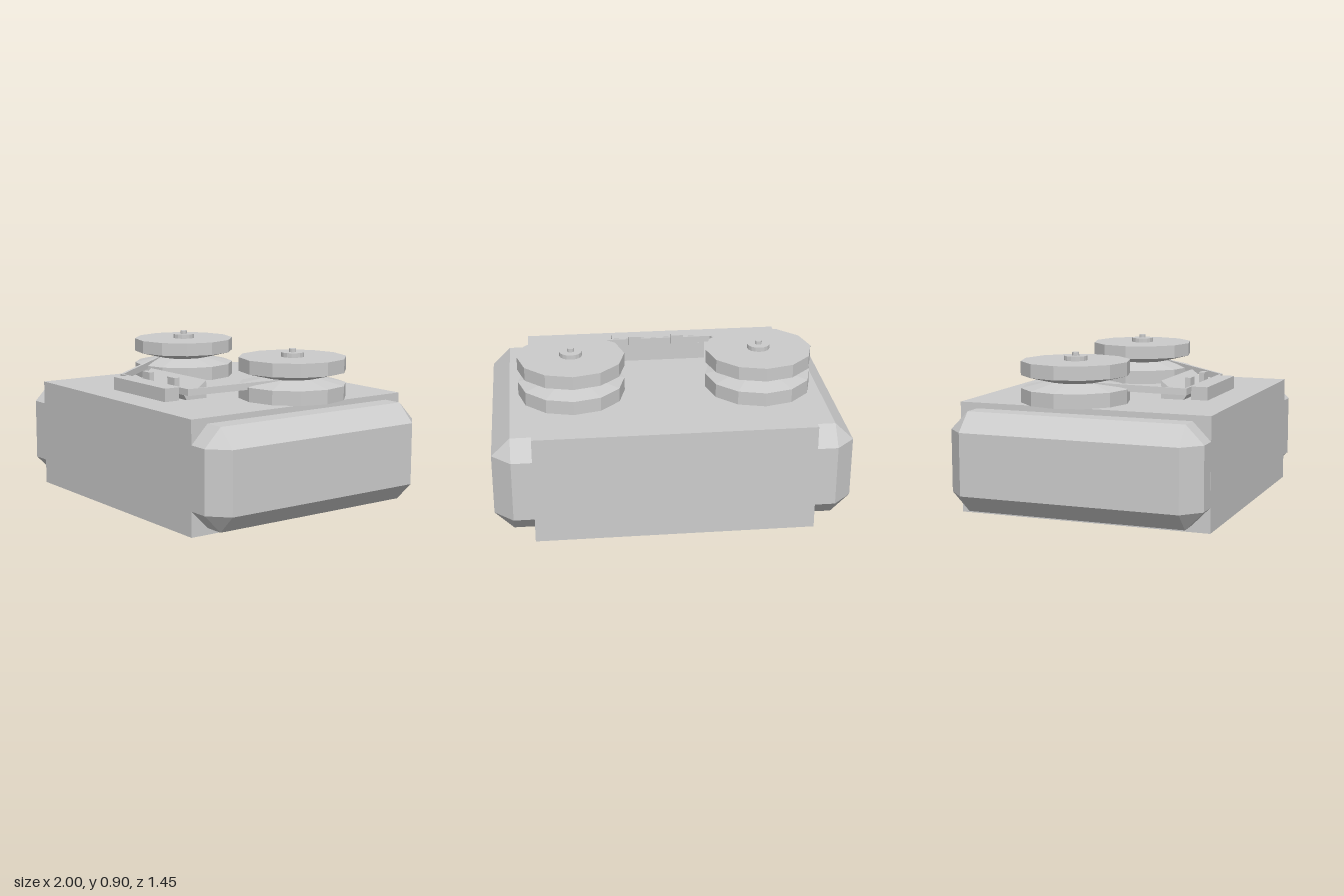
import * as THREE from 'three';
import { ConvexGeometry } from 'three/addons/geometries/ConvexGeometry.js';

const grey = new THREE.MeshStandardMaterial({ color: 0xcccccc, flatShading: true });

export function createModel() {
  const model = new THREE.Group();

  const add = (name, geometry, x = 0, y = 0, z = 0, parent = model) => {
    const mesh = new THREE.Mesh(geometry, grey);
    mesh.name = name;
    mesh.position.set(x, y, z);
    parent.add(mesh);
    return mesh;
  };
  // Box given by its lower and upper corners
  const box = (name, a, b) => add(name,
    new THREE.BoxGeometry(b[0] - a[0], b[1] - a[1], b[2] - a[2]),
    (a[0] + b[0]) / 2, (a[1] + b[1]) / 2, (a[2] + b[2]) / 2);

  // Main case
  box('case', [-0.78, 0, -0.727], [0.78, 0.625, 0.727]);

  // Side bumper with bevelled edges and cut corners
  function bumperGeometry(side) {
    const points = [];
    for (const sy of [-1, 1]) for (const sz of [-1, 1]) {
      const p = (x, y, z) => points.push(new THREE.Vector3(side * x, 0.315 + sy * y, sz * z));
      p(1, 0.175, 0.625);
      for (const x of [0.775, 0.895]) {
        p(x, 0.278, 0.625);
        p(x, 0.175, 0.726);
      }
    }
    return new ConvexGeometry(points);
  }

  // Reel profile: two flanges tapering to a narrow core
  const reelProfile = [[0, 0.625], [0.305, 0.625], [0.305, 0.705], [0.15, 0.74],
    [0.305, 0.778], [0.305, 0.855], [0, 0.855]].map(([r, y]) => new THREE.Vector2(r, y));

  for (const side of [-1, 1]) {
    const label = side > 0 ? 'left' : 'right';
    add(label + 'Bumper', bumperGeometry(side));

    const reel = new THREE.Group();
    reel.name = label + 'Reel';
    reel.position.set(side * 0.538, 0, -0.135);
    model.add(reel);
    add('flanges', new THREE.LatheGeometry(reelProfile, 12), 0, 0, 0, reel);
    add('hub', new THREE.CylinderGeometry(0.065, 0.065, 0.027, 16), 0, 0.867, 0, reel);
    add('spindle', new THREE.CylinderGeometry(0.02, 0.02, 0.03, 12), 0, 0.885, 0, reel);

    // Button on the tape head
    box(label + 'Button', [side * 0.13 - 0.037, 0.64, 0.38], [side * 0.13 + 0.037, 0.735, 0.413]);
  }

  // Tape head: sloping back block and a low front guard
  const profile = new THREE.Shape([[-0.277, 0.62], [-0.277, 0.727], [-0.365, 0.66],
    [-0.432, 0.66], [-0.408, 0.62]].map(([x, y]) => new THREE.Vector2(x, y)));
  const head = new THREE.ExtrudeGeometry(profile, { depth: 0.564, bevelEnabled: false });
  head.translate(0, 0, -0.282).rotateY(Math.PI / 2);
  add('tapeHead', head);
  box('headGuard', [-0.266, 0.62, 0.45], [0.266, 0.70, 0.545]);

  // Tape: thin upright ribbon swept through the head, rising to each reel
  const path = [[-0.60, 0.725, 0], [-0.345, 0.68, 0.443], [0.345, 0.68, 0.443], [0.60, 0.725, 0]];
  const positions = [];
  const index = [];
  path.forEach(([x, y, z], i) => {
    const nx = Math.sign(x) * 0.006;
    for (const [s, h] of [[-1, -0.019], [1, -0.019], [1, 0.019], [-1, 0.019]]) {
      positions.push(x + s * nx, y + h, z + s * 0.006);
    }
    if (i === 0) return;
    for (let k = 0; k < 4; k++) {
      const a = (i - 1) * 4 + k, b = (i - 1) * 4 + (k + 1) % 4;
      index.push(a, b, b + 4, a, b + 4, a + 4);
    }
  });
  const ribbon = new THREE.BufferGeometry();
  ribbon.setAttribute('position', new THREE.Float32BufferAttribute(positions, 3));
  ribbon.setIndex(index);
  ribbon.computeVertexNormals();
  const tape = add('tape', ribbon);
  tape.material = grey.clone();
  tape.material.side = THREE.DoubleSide;

  return model;
}
